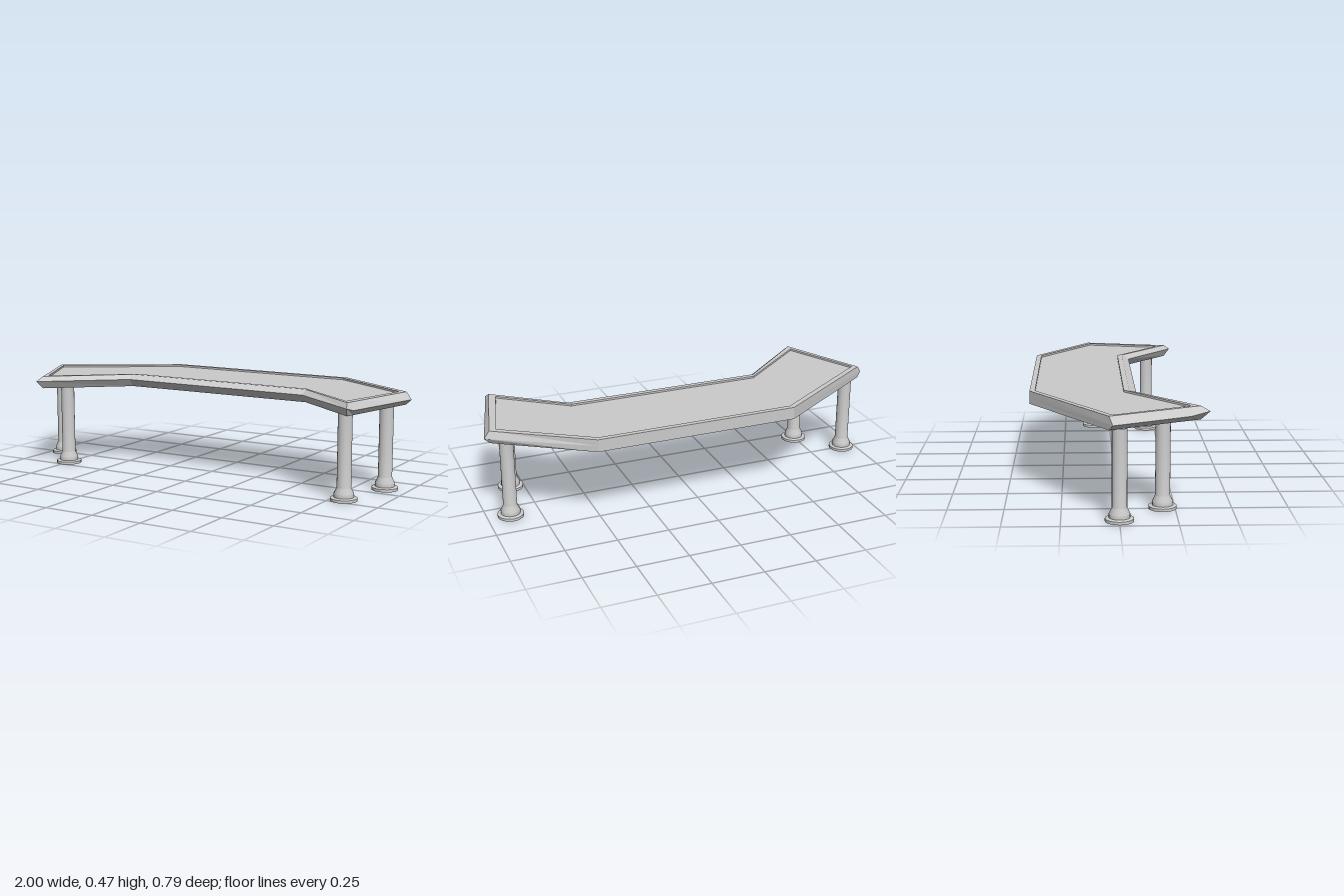
import * as THREE from 'three';
import { toCreasedNormals } from 'three/addons/utils/BufferGeometryUtils.js';

const TOP = 0.465, BOTTOM = 0.405, FLOOR = 0.456;

// One entry per corner: [top edge x, z], [nose x, y, z], [rim inner x, z]
const corners = [
  { top: [-0.43, -0.395], nose: [-0.43, 0.435, -0.395], inner: [-0.42, -0.37] },
  { top: [-0.972, -0.045], nose: [-0.998, 0.43, -0.03], inner: [-0.945, -0.03] },
  { top: [-0.806, 0.29], nose: [-0.827, 0.43, 0.31], inner: [-0.797, 0.26] },
  { top: [-0.775, 0.355], nose: [-0.785, 0.443, 0.395], inner: [-0.77, 0.315] },
  { top: [-0.43, 0.06], nose: [-0.43, 0.443, 0.095], inner: [-0.42, 0.035] },
  { top: [0.545, 0.06], nose: [0.545, 0.443, 0.095], inner: [0.535, 0.035] },
  { top: [0.87, 0.307], nose: [0.88, 0.443, 0.337], inner: [0.845, 0.265] },
  { top: [0.88, 0.265], nose: [0.893, 0.43, 0.29], inner: [0.856, 0.22] },
  { top: [0.972, -0.12], nose: [0.998, 0.43, -0.12], inner: [0.94, -0.108] },
  { top: [0.545, -0.395], nose: [0.545, 0.435, -0.395], inner: [0.535, -0.37] },
];

// Tabletop skin: recessed panel, raised rim, pointed nose and flat underside
function tabletopGeometry() {
  const at = (p, y) => [p[0], y, p[1]];
  const rings = [
    corners.map(c => at(c.inner, FLOOR)),
    corners.map(c => at(c.inner, TOP)),
    corners.map(c => at(c.top, TOP)),
    corners.map(c => c.nose),
    corners.map(c => at(c.top, BOTTOM)),
  ];
  const n = corners.length, pos = [];
  const tri = (a, b, c) => pos.push(...a, ...b, ...c);
  for (let r = 0; r < rings.length - 1; r++) {
    for (let i = 0; i < n; i++) {
      const j = (i + 1) % n, p = rings[r], q = rings[r + 1];
      tri(p[i], q[i], q[j]);
      tri(p[i], q[j], p[j]);
    }
  }
  // Caps, oriented up for the panel and down for the underside
  const cap = (ring, up) => {
    const flat = ring.map(p => new THREE.Vector2(p[0], p[2]));
    for (const f of THREE.ShapeUtils.triangulateShape(flat, [])) {
      let [a, b, c] = f.map(i => ring[i]);
      const ny = (b[2] - a[2]) * (c[0] - a[0]) - (b[0] - a[0]) * (c[2] - a[2]);
      if ((ny > 0) !== up) [b, c] = [c, b];
      tri(a, b, c);
    }
  };
  cap(rings[0], true);
  cap(rings[4], false);
  const geo = new THREE.BufferGeometry();
  geo.setAttribute('position', new THREE.Float32BufferAttribute(pos, 3));
  geo.computeVertexNormals();
  return geo;
}

// Turned leg: round foot, bell collar and straight column
function legGeometry() {
  const profile = [
    [0, 0], [0.0625, 0], [0.0625, 0.013], [0.058, 0.016], [0.046, 0.017],
    [0.046, 0.034], [0.033, 0.061], [0.033, BOTTOM + 0.002],
  ].map(([r, y]) => new THREE.Vector2(r, y));
  return toCreasedNormals(new THREE.LatheGeometry(profile, 20), Math.PI / 6);
}

export function createModel() {
  const model = new THREE.Group();
  model.name = 'curvedTable';
  const material = new THREE.MeshStandardMaterial({ color: 0xcccccc });

  const top = new THREE.Mesh(tabletopGeometry(), material);
  top.name = 'tabletop';
  model.add(top);

  const legGeo = legGeometry();
  const legs = {
    rightBackLeg: [-0.927, 0], rightFrontLeg: [-0.745, 0.195],
    leftBackLeg: [0.89, -0.088], leftFrontLeg: [0.815, 0.204],
  };
  for (const [name, [x, z]] of Object.entries(legs)) {
    const leg = new THREE.Mesh(legGeo, material);
    leg.name = name;
    leg.position.set(x, 0, z);
    model.add(leg);
  }
  return model;
}
